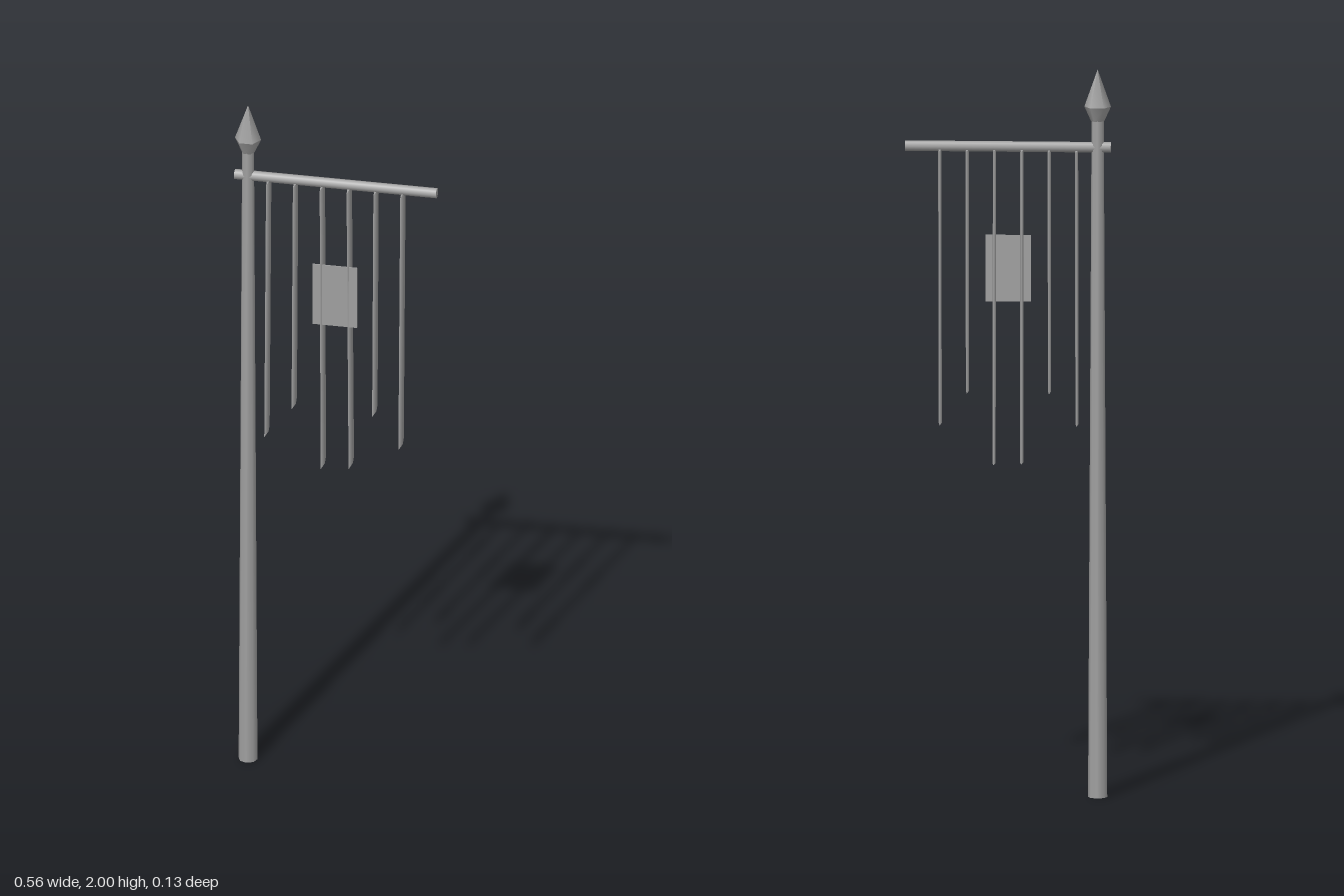
import * as THREE from 'three';

export function createModel() {
  const group = new THREE.Group();
  const grey = new THREE.MeshStandardMaterial({ color: 0xa0a0a0 });
  grey.name = 'grey';

  const add = (name, geometry, x, y, z) => {
    const mesh = new THREE.Mesh(geometry, grey);
    mesh.name = name;
    mesh.position.set(x, y, z);
    group.add(mesh);
    return mesh;
  };

  const poleX = -0.243;

  // Tapered pole
  add('pole', new THREE.CylinderGeometry(0.0165, 0.026, 1.87, 8), poleX, 0.935, 0);

  // Six-sided spear head: short flare below, long point above
  const flare = new THREE.CylinderGeometry(0.036, 0.018, 0.04, 6, 1).rotateY(Math.PI / 6);
  add('finialBase', flare, poleX, 1.878, 0);
  const point = new THREE.ConeGeometry(0.036, 0.102, 6, 1).rotateY(Math.PI / 6);
  add('finialPoint', point, poleX, 1.949, 0);

  // Horizontal crossbar
  const bar = new THREE.CylinderGeometry(0.0145, 0.0145, 0.557, 8).rotateZ(Math.PI / 2);
  add('crossbar', bar, -0.0005, 1.786, 0);

  // Hanging strips, diamond in section, each swinging a little: [bottom height, bottom z]
  const topY = 1.778;
  const strips = [
    [1.02, 0.024], [1.11, 0.018], [0.92, -0.012],
    [0.92, -0.028], [1.11, 0.017], [1.02, 0.025],
  ];
  strips.forEach(([bottomY, swing], i) => {
    const drop = topY - bottomY;
    const length = Math.hypot(drop, swing);
    const strip = new THREE.CylinderGeometry(0.037, 0.037, length, 4);
    strip.scale(0.12, 1, 1).translate(0, -length / 2, 0);
    const mesh = add('strip' + (i + 1), strip, -0.186 + i * 0.074, topY, 0);
    mesh.rotation.x = -Math.atan2(swing, drop);
  });

  // Thin square panel at the front
  add('panel', new THREE.BoxGeometry(0.123, 0.183, 0.003), -0.001, 1.449, 0.013);

  return group;
}
